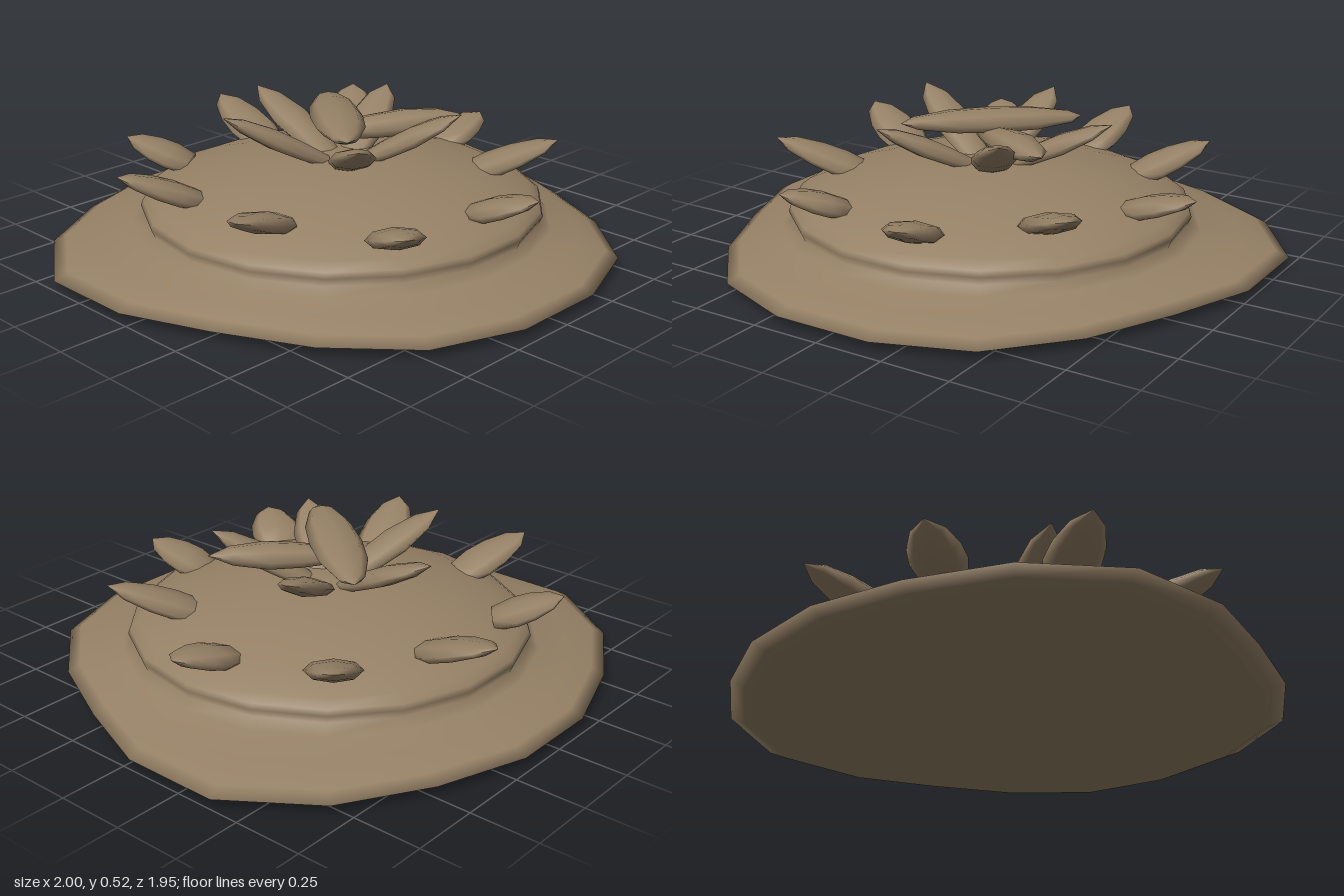
import * as THREE from 'three';

const clay = new THREE.MeshStandardMaterial({ color: 0x968166 });
clay.name = 'clay brown';

// Skin a stack of closed rings (equal point counts) with smooth normals
function loft(rings) {
  const n = rings[0].length, pos = [], idx = [];
  rings.forEach(r => r.forEach(p => pos.push(p.x, p.y, p.z)));
  for (let i = 0; i < rings.length - 1; i++) {
    for (let j = 0; j < n; j++) {
      const k = (j + 1) % n, a = i * n, b = a + n;
      idx.push(a + j, b + j, a + k, a + k, b + j, b + k);
    }
  }
  const g = new THREE.BufferGeometry();
  g.setAttribute('position', new THREE.Float32BufferAttribute(pos, 3));
  g.setIndex(idx);
  g.computeVertexNormals();
  return g;
}

// Right half of the base outline (x, z), from back to front
const half = [[0.17, -0.98], [0.49, -0.87], [0.79, -0.69], [1, -0.39], [1, -0.03],
  [0.88, 0.28], [0.73, 0.59], [0.5, 0.85], [0.18, 0.97]];
const outline = [...half, ...half.slice().reverse().map(([x, z]) => [-x, z])];

function mound() {
  // [height, scale, roundness]: 0 follows the outline, 1 is a circle
  const levels = [[0, 0, 0], [0, 0.925, 0], [0, 0.925, 0], [0.012, 0.95, 0], [0.035, 1, 0],
    [0.06, 0.955, 0], [0.085, 0.86, 0.4], [0.11, 0.755, 0.9], [0.135, 0.712, 1], [0.165, 0.725, 1],
    [0.185, 0.718, 1], [0.21, 0.685, 1], [0.25, 0.59, 1], [0.29, 0.45, 1], [0.32, 0.29, 1],
    [0.335, 0.14, 1], [0.34, 0, 1]];
  return loft(levels.map(([y, s, round]) => outline.map(([x, z], j) => {
    const a = (j + 0.5) / outline.length * Math.PI * 2;
    return new THREE.Vector3(
      s * THREE.MathUtils.lerp(x, Math.sin(a), round), y,
      s * THREE.MathUtils.lerp(z, -Math.cos(a), round) - 0.01 * round);
  })));
}

// Flattened pointed crystal from a to b; profile holds [position, width factor]
function crystal(a, b, width, thick, profile) {
  const A = new THREE.Vector3(...a), B = new THREE.Vector3(...b);
  const dir = B.clone().sub(A).normalize();
  const side = dir.clone().cross(new THREE.Vector3(0, 1, 0)).normalize();
  const up = side.clone().cross(dir);
  return loft(profile.map(([t, w]) => Array.from({ length: 8 }, (_, j) => {
    const q = j / 8 * Math.PI * 2;
    return A.clone().lerp(B, t)
      .addScaledVector(side, Math.sin(q) * w * width / 2)
      .addScaledVector(up, -Math.cos(q) * w * thick / 2);
  })));
}

const spikeProfile = [[0, 0], [0, 0.8], [0.3, 1], [0.55, 0.92], [0.82, 0.6], [1, 0]];
const petalProfile = [[0, 0], [0, 0.6], [0.3, 0.9], [0.55, 1], [0.82, 0.68], [1, 0]];
const slabProfile = [[0, 0], [0.08, 0.5], [0.28, 0.9], [0.5, 1], [0.72, 0.9], [0.92, 0.5], [1, 0]];

export function createModel() {
  const group = new THREE.Group();
  const add = (name, geo) => {
    const m = new THREE.Mesh(geo, clay);
    m.name = name;
    group.add(m);
  };
  add('mound', mound());

  // Outer ring of spikes: [inner x, inner z, tip x, tip z, tip height]
  const spikes = [[0.09, -0.5, 0.135, -0.83, 0.36], [0.39, -0.36, 0.61, -0.55, 0.36],
    [0.54, -0.03, 0.8, -0.03, 0.31], [0.36, 0.26, 0.61, 0.49, 0.36],
    [0.08, 0.53, 0.14, 0.765, 0.32], [-0.28, 0.48, -0.41, 0.67, 0.315],
    [-0.44, 0.13, -0.76, 0.27, 0.36], [-0.49, -0.22, -0.76, -0.335, 0.36],
    [-0.27, -0.54, -0.41, -0.735, 0.33]];
  spikes.forEach(([x, z, tx, tz, ty]) =>
    add('outerSpike', crystal([x, 0.235, z], [tx, ty, tz], 0.2, 0.075, spikeProfile)));

  // Inner ring of raised petals: [tip x, tip z, tip height]
  [[0, -0.46, 0.5], [0.405, -0.17, 0.48], [0.25, 0.33, 0.5], [-0.26, 0.32, 0.48], [-0.405, -0.19, 0.52]]
    .forEach(([x, z, y]) =>
      add('innerPetal', crystal([x * 0.12, 0.31, z * 0.12], [x, y, z], 0.165, 0.07, petalProfile)));

  // Crystals lying across the middle
  add('lowerCrystal', crystal([-0.02, 0.42, -0.03], [0.36, 0.46, 0.24], 0.16, 0.09, petalProfile));
  add('topCrystal', crystal([-0.22, 0.485, 0.23], [0.21, 0.455, -0.3], 0.19, 0.085, slabProfile));
  return group;
}
